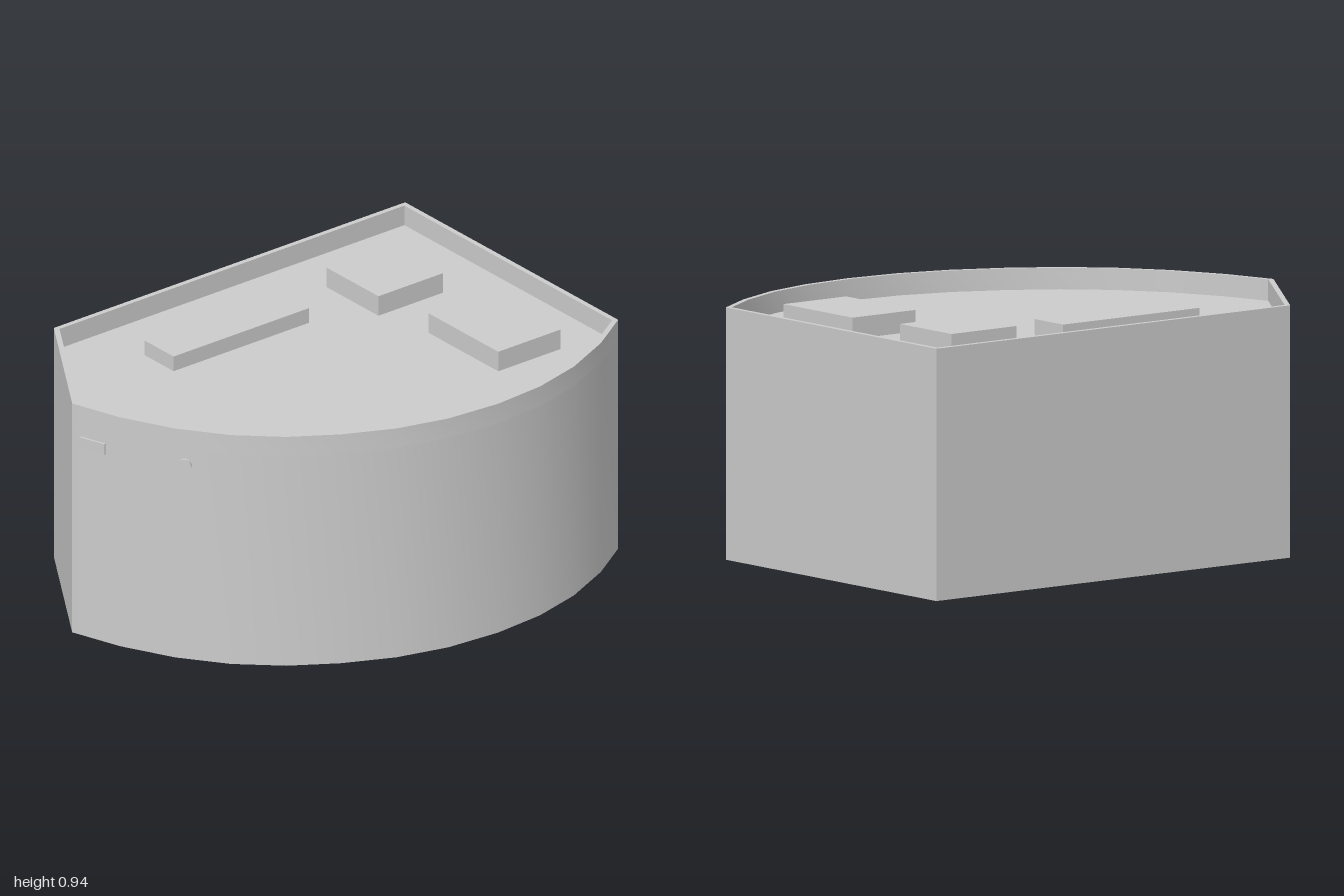
import * as THREE from 'three';
import { toCreasedNormals } from 'three/addons/utils/BufferGeometryUtils.js';

const HEIGHT = 0.94, ROOF = 0.86, WALL = 0.02;

// Footprint as (x, z): straight back and side, angled front, bowed flank
const OUTLINE = [
  [-0.76, -1], [-0.76, 0.66], [-0.23, 1], [-0.03, 0.935], [0.17, 0.835],
  [0.34, 0.71], [0.48, 0.56], [0.59, 0.39], [0.68, 0.2], [0.735, 0],
  [0.755, -0.22], [0.74, -0.43], [0.69, -0.63], [0.6, -0.83], [0.49, -1],
].map(([x, z]) => new THREE.Vector2(x, -z));

// Moves every side of the outline inwards by d
function inset(points, d) {
  const n = points.length;
  const normal = (a, b) => new THREE.Vector2(a.y - b.y, b.x - a.x).normalize();
  const sign = THREE.ShapeUtils.area(points) > 0 ? 1 : -1;
  return points.map((p, i) => {
    const n1 = normal(points[(i + n - 1) % n], p);
    const n2 = normal(p, points[(i + 1) % n]);
    const miter = n1.clone().add(n2);
    return p.clone().addScaledVector(miter, sign * d / (1 + n1.dot(n2)));
  });
}

// Upright extrusion of a footprint shape from y0 to y1
function prism(shape, y0, y1) {
  const geo = new THREE.ExtrudeGeometry(shape, { depth: y1 - y0, bevelEnabled: false });
  geo.rotateX(-Math.PI / 2).translate(0, y0, 0);
  return toCreasedNormals(geo, 0.45);
}

export function createModel() {
  const group = new THREE.Group();
  const material = new THREE.MeshStandardMaterial({ color: 0xcccccc });
  const add = (name, geometry) => {
    const mesh = new THREE.Mesh(geometry, material);
    mesh.name = name;
    group.add(mesh);
    return mesh;
  };

  // Solid building with a thin parapet around the sunken roof
  add('building', prism(new THREE.Shape(OUTLINE), 0, ROOF));
  const rim = new THREE.Shape(OUTLINE);
  rim.holes.push(new THREE.Path(inset(OUTLINE, WALL)));
  add('parapet', prism(rim, ROOF, HEIGHT));

  // Rooftop units: name, x range, z range, height
  const units = [
    ['squareRoofUnit', -0.52, -0.215, -0.74, -0.435, 0.08],
    ['wideRoofUnit', 0.01, 0.42, -0.785, -0.49, 0.08],
    ['longRoofUnit', -0.5, -0.33, -0.2, 0.44, 0.06],
  ];
  for (const [name, x0, x1, z0, z1, h] of units) {
    add(name, new THREE.BoxGeometry(x1 - x0, h, z1 - z0))
      .position.set((x0 + x1) / 2, ROOF + h / 2, (z0 + z1) / 2);
  }

  // Small sign plate and round badge on the bowed wall
  const plate = add('signPlate', new THREE.BoxGeometry(0.108, 0.045, 0.018));
  plate.position.set(-0.142, 0.793, 0.971);
  plate.rotation.y = 0.314;
  const badge = add('roundBadge', new THREE.CylinderGeometry(0.025, 0.025, 0.02, 24).rotateX(Math.PI / 2));
  badge.position.set(0.2, 0.797, 0.813);
  badge.rotation.y = 0.634;

  return group;
}
